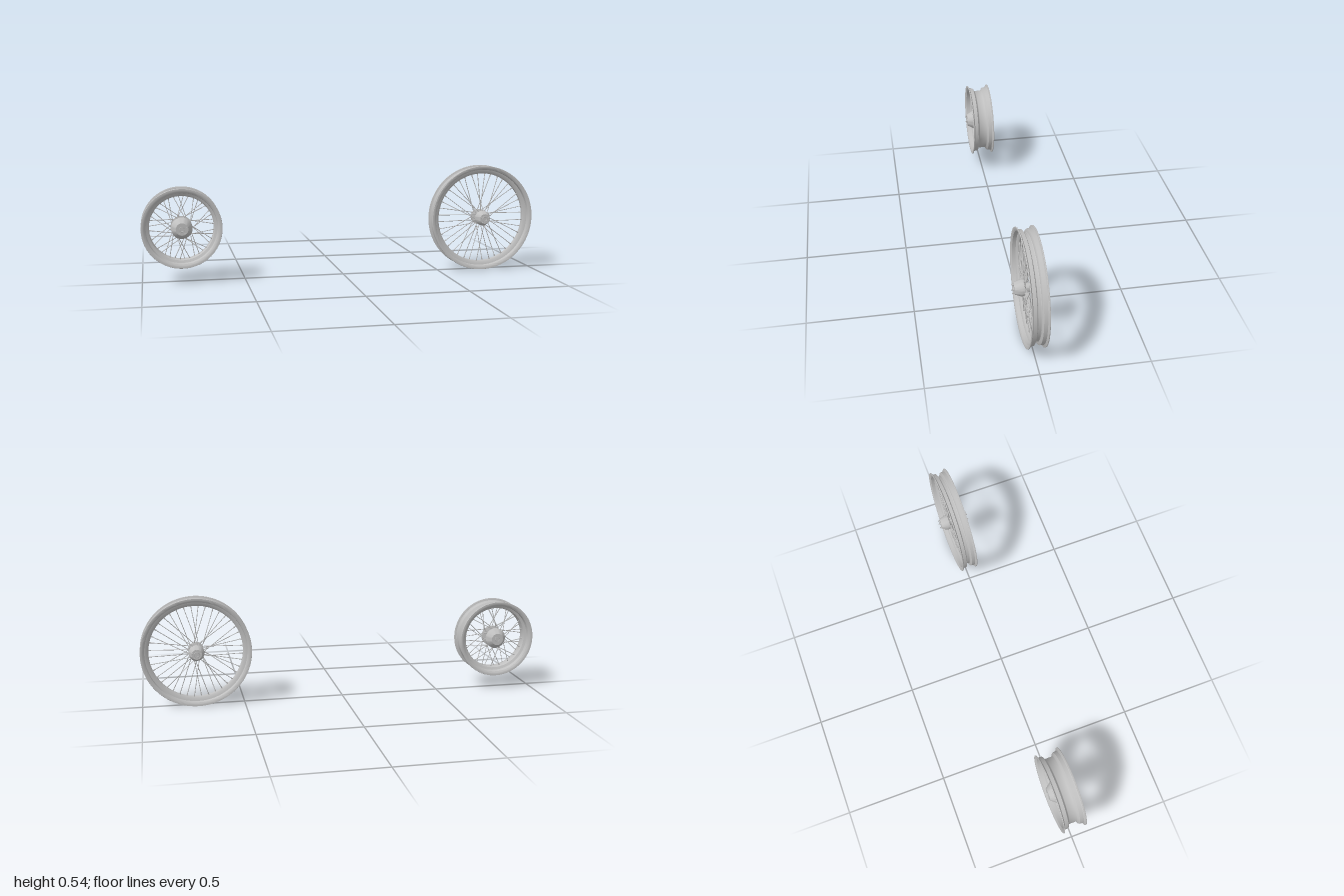
import * as THREE from 'three';
import { toCreasedNormals } from 'three/addons/utils/BufferGeometryUtils.js';

const steel = new THREE.MeshStandardMaterial({ color: 0xc0c0c0 });
steel.name = 'brushed steel';

function add(group, name, geometry) {
  const mesh = new THREE.Mesh(geometry, steel);
  mesh.name = name;
  group.add(mesh);
  return mesh;
}

// Profile of [radius, z] points spun round the wheel axle (z)
function spin(points, segments) {
  const lathe = new THREE.LatheGeometry(points.map(([r, z]) => new THREE.Vector2(r, z)), segments);
  return toCreasedNormals(lathe.rotateX(Math.PI / 2), 0.6);
}

// Mirrors the +z half of a profile so it runs from -z to +z
const mirrored = half => [...half.map(([r, z]) => [r, -z]).reverse(), ...half];

// Straight rod between two points
function rod(group, name, from, to, radius) {
  const dir = to.clone().sub(from);
  const mesh = add(group, name, new THREE.CylinderGeometry(radius, radius, dir.length(), 6));
  mesh.position.copy(from).addScaledVector(dir, 0.5);
  mesh.quaternion.setFromUnitVectors(new THREE.Vector3(0, 1, 0), dir.normalize());
}

const polar = (r, a, z) => new THREE.Vector3(r * Math.cos(a), r * Math.sin(a), z);

function makeWheel(name, o) {
  const wheel = new THREE.Group();
  wheel.name = name;

  // Drop-centre rim: outer skin, then inner skin back to the start
  const outer = mirrored(o.rimOuter);
  const inner = mirrored(o.rimInner).reverse();
  add(wheel, 'rim', spin([...outer, ...inner, outer[0]], 96));

  // Spool-shaped hub with tapered drums
  add(wheel, 'hub', spin([
    [0, -o.back], [o.capR - 0.003, -o.back], [o.capR, -o.back + 0.003],
    [o.drumR, -o.drumZ], [o.drumR, -0.025], [o.barrelR, -0.019],
    [o.barrelR, 0.019], [o.drumR, 0.025], [o.drumR, o.drumZ],
    [o.capR, o.front - 0.003], [o.capR - 0.003, o.front], [0, o.front],
  ], 40));

  // Axle bosses and bolt rings on the hub faces
  for (const [side, z] of [[1, o.front], [-1, o.back]]) {
    add(wheel, 'axleBoss', new THREE.TorusGeometry(0.012, 0.002, 8, 28)).position.z = side * z;
    if (side < 0 && !o.backBolts) continue;
    for (let i = 0; i < 5; i++) {
      const a = Math.PI / 2 + i * Math.PI * 2 / 5;
      rod(wheel, 'hubBolt', polar(o.boltR, a, side * (z - 0.002)), polar(o.boltR, a, side * (z + 0.009)), 0.0025);
    }
  }

  // Crossed spokes with nipples, alternating hub sides and lean
  for (let i = 0; i < o.spokes; i++) {
    const side = i % 2 ? 1 : -1;
    const lean = (i >> 1) % 2 ? 1 : -1;
    const a = (i + 0.5) / o.spokes * Math.PI * 2;
    const start = polar(o.drumR - 0.003, a - lean * o.lean, side * 0.027);
    const end = polar(o.spokeR, a, side * o.spokeZ);
    rod(wheel, 'spoke', start, end, 0.0019);
    rod(wheel, 'nipple', start.clone().lerp(end, 0.93), end, 0.003);
  }

  wheel.position.set(...o.position);
  return wheel;
}

export function createModel() {
  const model = new THREE.Group();
  model.name = 'wheelPair';

  // Large narrow wheel
  model.add(makeWheel('largeWheel', {
    position: [0.73, 0.271, -0.001],
    rimOuter: [[0.239, 0.006], [0.241, 0.009], [0.254, 0.012], [0.257, 0.014], [0.258, 0.031],
      [0.262, 0.034], [0.268, 0.035], [0.270, 0.037], [0.269, 0.040]],
    rimInner: [[0.229, 0.008], [0.234, 0.013], [0.249, 0.017], [0.251, 0.034], [0.256, 0.038], [0.264, 0.040]],
    drumR: 0.038, drumZ: 0.04, capR: 0.028, barrelR: 0.02, front: 0.07, back: 0.068,
    boltR: 0.021, backBolts: true, spokes: 40, lean: 0.45, spokeR: 0.232, spokeZ: 0.005,
  }));

  // Small wide wheel
  model.add(makeWheel('smallWheel', {
    position: [-0.805, 0.268, -0.001],
    rimOuter: [[0.163, 0.018], [0.165, 0.021], [0.176, 0.026], [0.179, 0.029], [0.181, 0.047],
      [0.185, 0.051], [0.192, 0.052], [0.195, 0.054], [0.194, 0.057]],
    rimInner: [[0.156, 0.018], [0.159, 0.025], [0.171, 0.031], [0.174, 0.050], [0.179, 0.055], [0.188, 0.057]],
    drumR: 0.052, drumZ: 0.034, capR: 0.033, barrelR: 0.026, front: 0.071, back: 0.062,
    boltR: 0.024, backBolts: false, spokes: 40, lean: 0.6, spokeR: 0.158, spokeZ: 0.01,
  }));

  return model;
}
